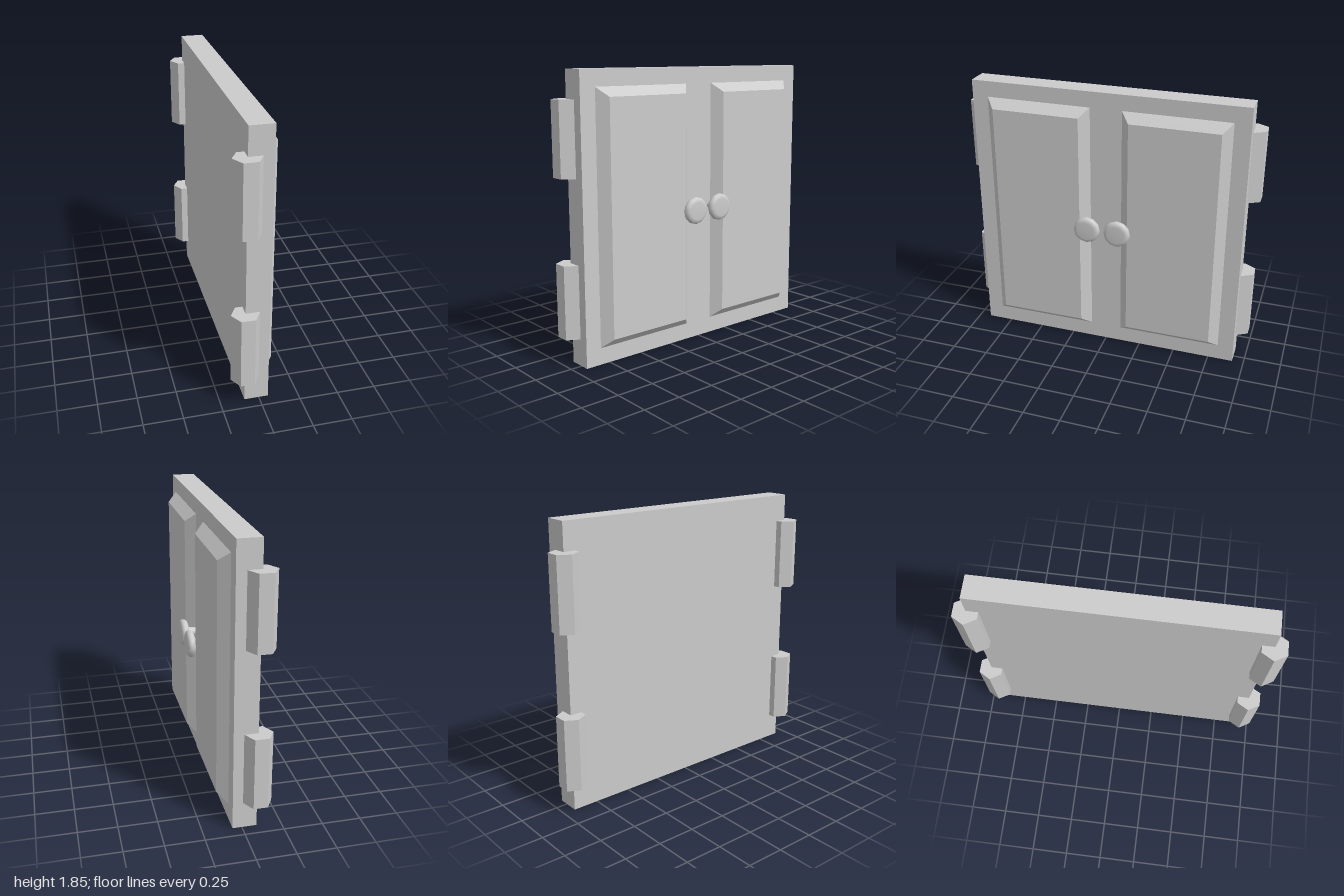
import * as THREE from 'three';

const material = new THREE.MeshStandardMaterial({ color: 0xcccccc });
const KNOB_Y = 0.915;

function add(parent, name, geometry, x, y, z) {
  const mesh = new THREE.Mesh(geometry, material);
  mesh.name = name;
  mesh.position.set(x, y, z);
  parent.add(mesh);
  return mesh;
}

// Raised panel: a box whose outer face is drawn in to make sloping edges
function panelGeometry(depth, height, width, inset) {
  const geometry = new THREE.BoxGeometry(depth, height, width);
  const p = geometry.attributes.position;
  for (let i = 0; i < p.count; i++) {
    if (p.getX(i) < 0) continue;
    p.setY(i, p.getY(i) - Math.sign(p.getY(i)) * inset);
    p.setZ(i, p.getZ(i) - Math.sign(p.getZ(i)) * inset);
  }
  geometry.computeVertexNormals();
  return geometry;
}

// Rounded disc turned about the x axis
function knobGeometry() {
  const profile = [
    [0, 0.124], [0.06, 0.124], [0.078, 0.128], [0.088, 0.139], [0.091, 0.152],
    [0.088, 0.165], [0.078, 0.175], [0.06, 0.18], [0, 0.18],
  ].map(([r, h]) => new THREE.Vector2(r, h));
  return new THREE.LatheGeometry(profile, 12).rotateZ(-Math.PI / 2);
}

export function createModel() {
  const model = new THREE.Group();
  model.name = 'cupboardDoors';

  for (const side of [1, -1]) {
    const door = new THREE.Group();
    door.name = side > 0 ? 'leftDoor' : 'rightDoor';
    model.add(door);

    // Door leaf and its raised panel
    add(door, 'doorLeaf', new THREE.BoxGeometry(0.154, 1.846, 0.922), -0.017, 0.923, side * 0.461);
    add(door, 'raisedPanel', panelGeometry(0.065, 1.63, 0.708, 0.059), 0.0925, 0.925, side * 0.461);

    // Knob on a tapered stem
    const stem = new THREE.CylinderGeometry(0.037, 0.025, 0.09, 12).rotateZ(-Math.PI / 2);
    add(door, 'knobStem', stem, 0.095, KNOB_Y, side * 0.105);
    add(door, 'knob', knobGeometry(), 0, KNOB_Y, side * 0.105);

    // Six-sided hinge barrels on the outer back edge
    for (const y of [0.413, 1.428]) {
      const barrel = new THREE.CylinderGeometry(0.09, 0.09, 0.476, 6).rotateY(Math.PI / 6).toNonIndexed();
      barrel.computeVertexNormals();
      add(door, 'hinge', barrel, -0.095, y, side * 0.922);
    }
  }
  return model;
}
